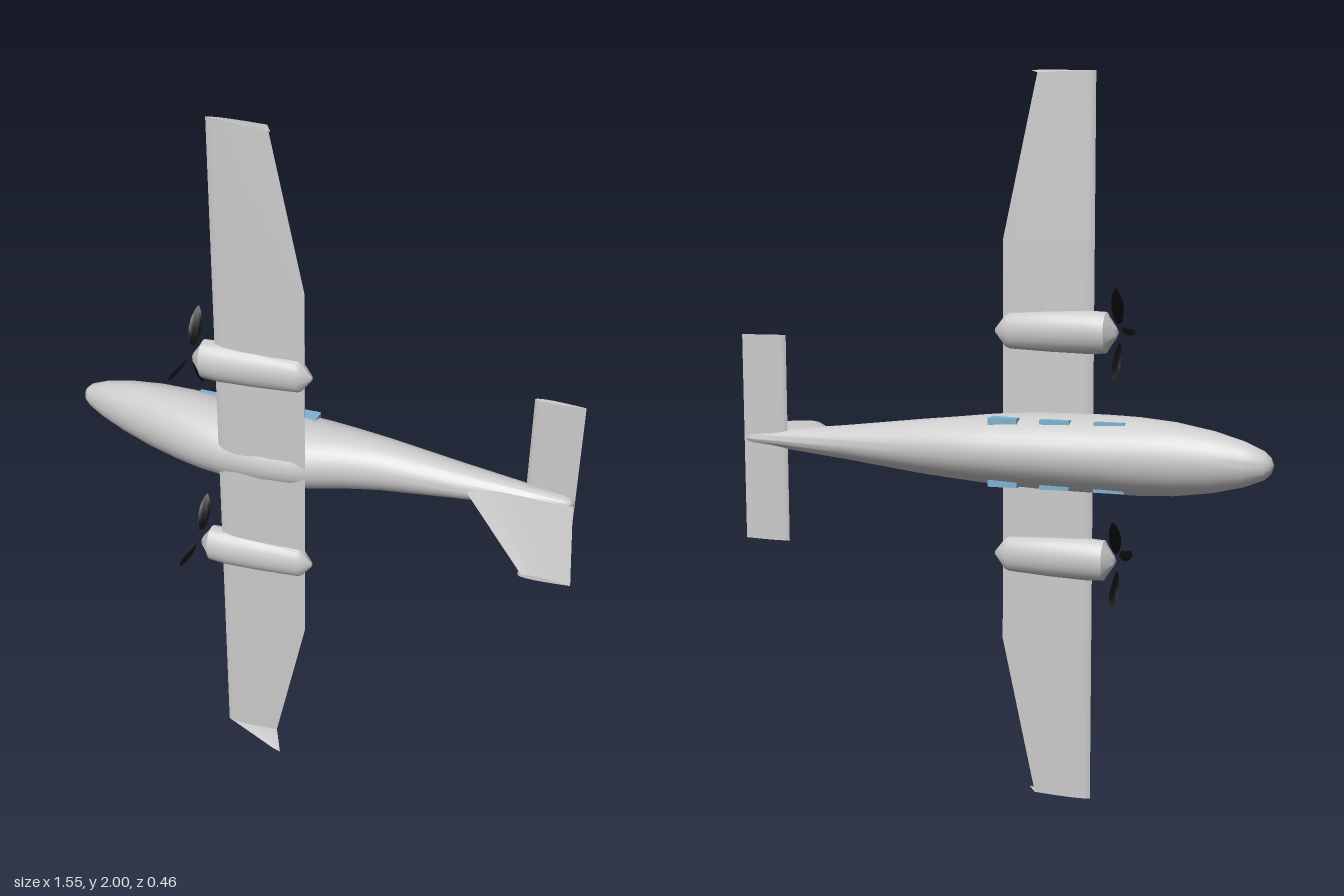
import * as THREE from 'three';
import { toCreasedNormals } from 'three/addons/utils/BufferGeometryUtils.js';

const grey = new THREE.MeshStandardMaterial({ color: 0xcccccc });
const black = new THREE.MeshStandardMaterial({ color: 0x0a0a0a });
const blue = new THREE.MeshStandardMaterial({ color: 0x7fb2d0 });

// Skin a row of equal-length rings, close both ends, and make the faces point outward.
function loft(rings, crease = 0.7) {
  const n = rings[0].length, pos = [], idx = [];
  rings.forEach(r => r.forEach(p => pos.push(...p)));
  for (let i = 0; i < rings.length - 1; i++) {
    for (let j = 0; j < n; j++) {
      const a = i * n + j, b = i * n + (j + 1) % n;
      idx.push(a, b, a + n, b, b + n, a + n);
    }
  }
  const last = (rings.length - 1) * n;
  for (let j = 1; j < n - 1; j++) {
    idx.push(0, j + 1, j, last, last + j, last + j + 1);
  }
  const v = k => new THREE.Vector3().fromArray(pos, k * 3);
  let volume = 0;
  for (let i = 0; i < idx.length; i += 3) {
    volume += v(idx[i]).dot(v(idx[i + 1]).cross(v(idx[i + 2])));
  }
  if (volume < 0) idx.reverse();
  const g = new THREE.BufferGeometry();
  g.setAttribute('position', new THREE.Float32BufferAttribute(pos, 3));
  g.setIndex(idx);
  return toCreasedNormals(g, crease);
}

// Ellipse across the x axis
function ellipse(x, y, z, ry, rz, n = 36) {
  return Array.from({ length: n }, (_, i) => {
    const a = i / n * Math.PI * 2;
    return [x, y + ry * Math.sin(a), z + rz * Math.cos(a)];
  });
}

// Airfoil outline: chord fraction and thickness fraction, round nose to sharp tail
const half = [[0.02, 0.35], [0.08, 0.7], [0.2, 0.95], [0.35, 1], [0.6, 0.75], [0.8, 0.42]];
const foil = [[0, 0], ...half, [1, 0.04], [1, -0.04],
  ...half.map(([u, t]) => [u, -t]).reverse()];

// Chord from (x0, z0) to (x1, z1) at height y, thickened along z
const foilZ = (y, x0, z0, x1, z1, t) =>
  foil.map(([u, s]) => [x0 + (x1 - x0) * u, y, z0 + (z1 - z0) * u + s * t]);
// The same, thickened along y
const foilY = (y, x0, z0, x1, z1, t) =>
  foil.map(([u, s]) => [x0 + (x1 - x0) * u, y + s * t, z0 + (z1 - z0) * u]);

function part(name, geometry, material = grey) {
  const m = new THREE.Mesh(geometry, material);
  m.name = name;
  return m;
}

export function createModel() {
  const plane = new THREE.Group();
  plane.name = 'twinPropAircraft';

  // Fuselage stations: x, belly z, roof z, half width
  const stations = [
    [-0.772, -0.188, -0.178, 0.006], [-0.766, -0.2, -0.165, 0.021],
    [-0.75, -0.212, -0.153, 0.036], [-0.7, -0.223, -0.128, 0.057],
    [-0.62, -0.231, -0.094, 0.078], [-0.52, -0.235, -0.056, 0.094],
    [-0.42, -0.235, -0.021, 0.101], [-0.34, -0.234, 0.003, 0.102],
    [-0.26, -0.234, 0.016, 0.102], [-0.14, -0.232, 0.018, 0.1],
    [-0.05, -0.229, 0.01, 0.095], [0, -0.227, -0.004, 0.091],
    [0.08, -0.218, -0.031, 0.083], [0.18, -0.205, -0.054, 0.073],
    [0.4, -0.178, -0.07, 0.047], [0.6, -0.154, -0.087, 0.026],
    [0.68, -0.144, -0.094, 0.02], [0.7, -0.139, -0.097, 0.016], [0.71, -0.125, -0.108, 0.006],
  ];
  plane.add(part('fuselage', loft(stations.map(([x, lo, hi, w]) =>
    ellipse(x, 1, (lo + hi) / 2, w, (hi - lo) / 2)), 1)));

  // Main wing: constant centre section with tapered outer panels
  plane.add(part('wing', loft([
    [0.015, -0.105, 0.008], [0.45, -0.01, 0.011], [1, -0.01, 0.012], [1.55, -0.01, 0.011], [1.985, -0.105, 0.008],
  ].map(([y, tail, t]) => foilZ(y, -0.264, 0, tail, -0.003, t)))));

  // Tailplane and fin
  plane.add(part('tailplane', loft([0.715, 1.29].map(y => foilZ(y, 0.576, -0.135, 0.71, -0.135, 0.008)))));
  plane.add(part('fin', loft([
    foilY(1, 0.41, -0.1, 0.708, -0.115, 0.016), foilY(1, 0.43, -0.07, 0.712, -0.095, 0.016),
    foilY(1, 0.65, 0.228, 0.773, 0.228, 0.006),
  ])));

  // Engine: cowling with pointed ends, x, half width in y, half height in z, z centre
  const cowl = [
    [-0.332, 0.004, 0.004, -0.005], [-0.326, 0.016, 0.014, -0.005],
    [-0.306, 0.044, 0.034, -0.006], [-0.3, 0.055, 0.042, -0.006],
    [-0.25, 0.058, 0.044, -0.006], [-0.15, 0.055, 0.039, -0.006],
    [-0.03, 0.048, 0.028, -0.006], [-0.018, 0.042, 0.025, -0.006], [0.01, 0.006, 0.005, -0.006],
  ];
  const cowlGeometry = loft(cowl.map(([x, ry, rz, z]) => ellipse(x, 0, z, ry, rz, 24)));

  // Twisted propeller blade along +z: radius, half chord, pitch angle
  const blade = [[0.03, 0.007, 0.75], [0.05, 0.014, 0.8], [0.075, 0.017, 0.95],
    [0.1, 0.015, 1.1], [0.122, 0.009, 1.2], [0.137, 0.002, 1.25]];
  const bladeGeometry = loft(blade.map(([r, c, pitch]) =>
    Array.from({ length: 10 }, (_, i) => {
      const a = i / 10 * Math.PI * 2, u = c * Math.cos(a), v = 0.1 * c * Math.sin(a);
      return [u * Math.sin(pitch) - v * Math.cos(pitch), u * Math.cos(pitch) + v * Math.sin(pitch), r];
    })));

  for (const side of [-1, 1]) {
    // Winglet swept back and upward from the wing tip
    plane.add(part('winglet', loft([
      foilZ(1 + side * 0.985, -0.264, 0, -0.105, -0.003, 0.008),
      foilZ(1 + side * 0.999, -0.098, 0.062, -0.066, 0.072, 0.001),
    ])));

    const engine = new THREE.Group();
    engine.name = 'engine';
    engine.position.y = 1 + side * 0.307;
    engine.add(part('cowling', cowlGeometry));
    const propeller = new THREE.Group();
    propeller.name = 'propeller';
    propeller.position.set(-0.339, 0, -0.005);
    for (let i = 0; i < 3; i++) {
      const b = part('propellerBlade', bladeGeometry, black);
      b.rotation.x = i * Math.PI * 2 / 3;
      propeller.add(b);
    }
    engine.add(propeller);
    plane.add(engine);

    // Cabin windows standing slightly proud of the lower sides
    for (const x of [-0.355, -0.21, -0.069]) {
      const w = part('cabinWindow', new THREE.BoxGeometry(0.08, 0.04, 0.08), blue);
      w.position.set(x, 1 + side * 0.071, -0.145);
      plane.add(w);
    }
  }
  return plane;
}
